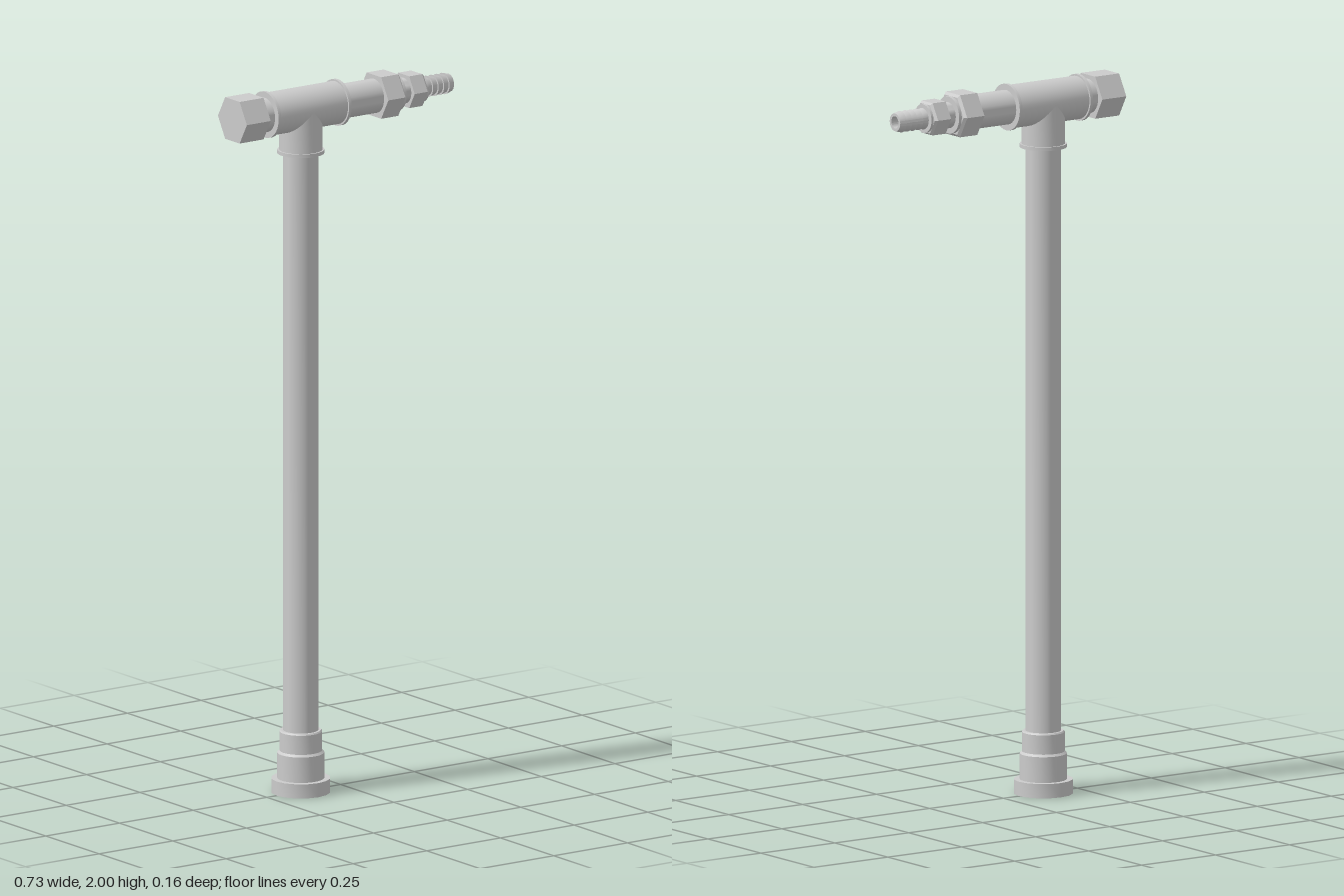
import * as THREE from 'three';
import { toCreasedNormals } from 'three/addons/utils/BufferGeometryUtils.js';

const AXIS_Y = 1.935; // height of the horizontal run
const POST_X = -0.135; // centre of the upright

export function createModel() {
  const group = new THREE.Group();
  const material = new THREE.MeshStandardMaterial({ color: 0xcccccc });

  // Turned part from [radius, height] pairs, with crisp edges
  const turned = (profile, sides) => toCreasedNormals(
    new THREE.LatheGeometry(profile.map(([r, h]) => new THREE.Vector2(r, h)), sides),
    sides === 6 ? 0.3 : 0.5);

  const add = (name, geometry, x, y) => {
    const mesh = new THREE.Mesh(geometry, material);
    mesh.name = name;
    mesh.position.set(x, y, 0);
    group.add(mesh);
  };
  const upright = (name, profile, sides = 32) => add(name, turned(profile, sides), POST_X, 0);
  const across = (name, profile, sides = 32) =>
    add(name, turned(profile, sides).rotateZ(-Math.PI / 2), 0, AXIS_Y);

  // Closed cylinder profile
  const rod = (r, a, b) => [[0, a], [r, a], [r, b], [0, b]];
  // Hexagon nut profile, chamfered towards the outlet
  const nut = (r, a, b, c) => [[0, a], [r, a], [r, b], [r * 0.88, c], [0, c]];

  // Upright and its foot
  upright('uprightPipe', rod(0.049, 0.1, 1.86));
  upright('footCap', rod(0.082, 0, 0.04), 16);
  upright('footSleeve', [[0, 0.03], [0.065, 0.03], [0.065, 0.112], [0.059, 0.118],
    [0.059, 0.172], [0.056, 0.176], [0, 0.176]]);

  // Tee fitting
  upright('teeBranch', rod(0.06, 1.812, AXIS_Y));
  upright('teeBranchRim', rod(0.065, 1.81, 1.82));
  across('teeBody', rod(0.06, -0.25, -0.015));
  across('teeRimRight', rod(0.065, -0.257, -0.248));
  across('teeRimLeft', rod(0.065, -0.018, -0.009));

  // Horizontal pipe, end cap and reducing nuts
  across('crossPipe', rod(0.048, -0.3, 0.13));
  across('hexEndCap', rod(0.068, -0.367, -0.286), 6);
  across('largeNut', nut(0.068, 0.113, 0.171, 0.178), 6);
  across('largeCollar', rod(0.052, 0.17, 0.187));
  across('reducerNeck', rod(0.036, 0.18, 0.22));
  across('smallNut', nut(0.052, 0.214, 0.258, 0.265), 6);
  across('smallCollar', rod(0.04, 0.26, 0.272));

  // Hollow barbed hose tail
  const tail = [[0.026, 0.268], [0.026, 0.274]];
  for (let i = 0; i < 5; i++) {
    const start = 0.274 + i * 0.0186;
    tail.push([0.03, start], [0.025, start + 0.0186]);
  }
  tail.push([0.017, 0.367], [0.017, 0.28], [0, 0.28]);
  across('hoseTail', tail, 24);

  return group;
}
